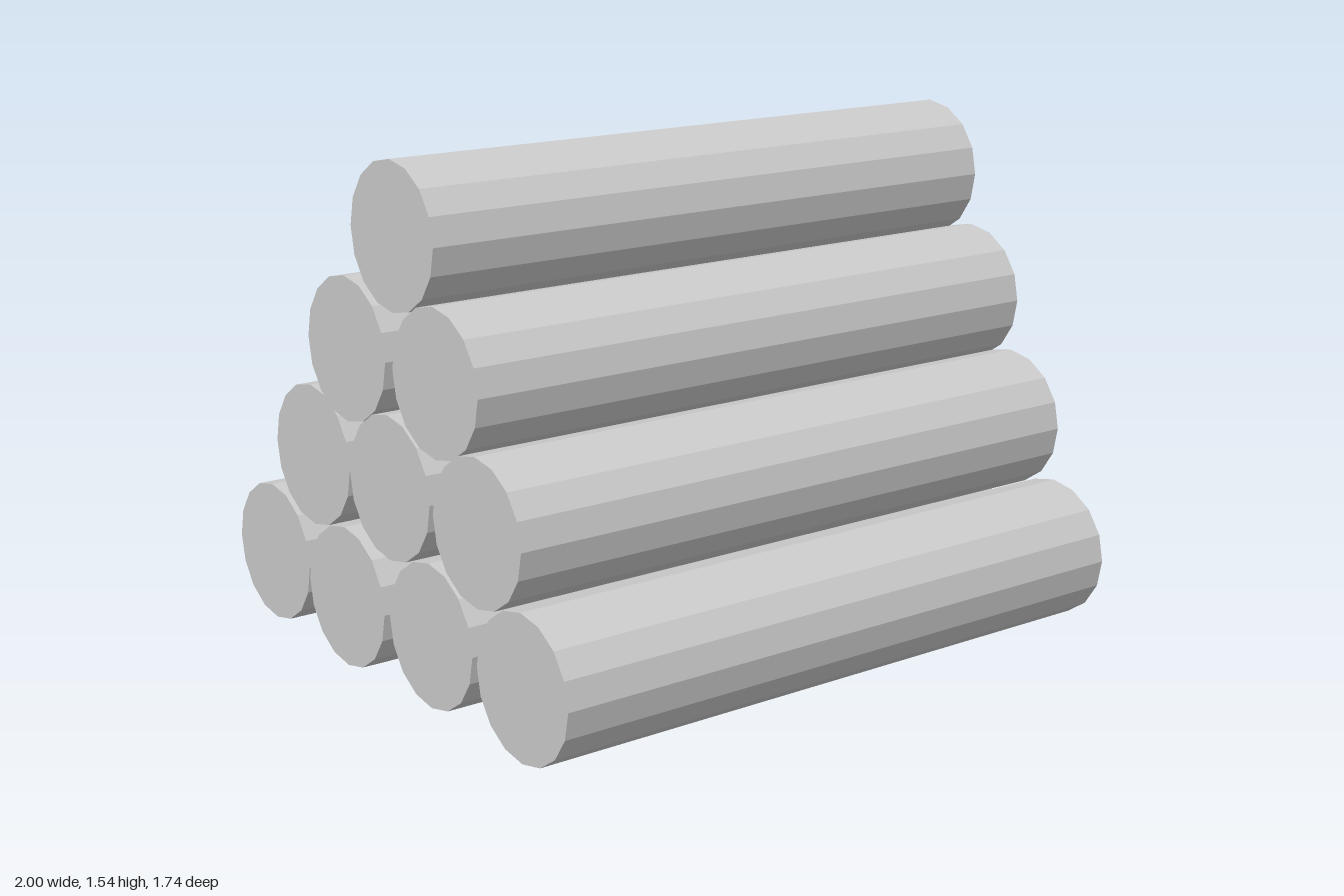
import * as THREE from 'three';

const RADIUS = 0.2115;
const LENGTH = 2;

// Log centres as [z, y], listed row by row from the ground up
const ROWS = [
  [[0.66, 0.212], [0.216, 0.23], [-0.237, 0.222], [-0.66, 0.252]],
  [[0.457, 0.588], [0.019, 0.61], [-0.405, 0.613]],
  [[0.267, 0.959], [-0.193, 0.97]],
  [[0.067, 1.33]],
];

export function createModel() {
  const group = new THREE.Group();
  group.name = 'logPile';
  const material = new THREE.MeshStandardMaterial({ color: 0xcccccc, flatShading: true });

  // One sixteen-sided log lying along x, shared by the whole pile
  const logGeometry = new THREE.CylinderGeometry(RADIUS, RADIUS, LENGTH, 16);
  logGeometry.rotateZ(Math.PI / 2);

  ROWS.forEach((row, r) => {
    const rowGroup = new THREE.Group();
    rowGroup.name = `logRow${r + 1}`;
    row.forEach(([z, y], i) => {
      const log = new THREE.Mesh(logGeometry, material);
      log.name = `log${i + 1}`;
      log.position.set(0, y, z);
      rowGroup.add(log);
    });
    group.add(rowGroup);
  });
  return group;
}
